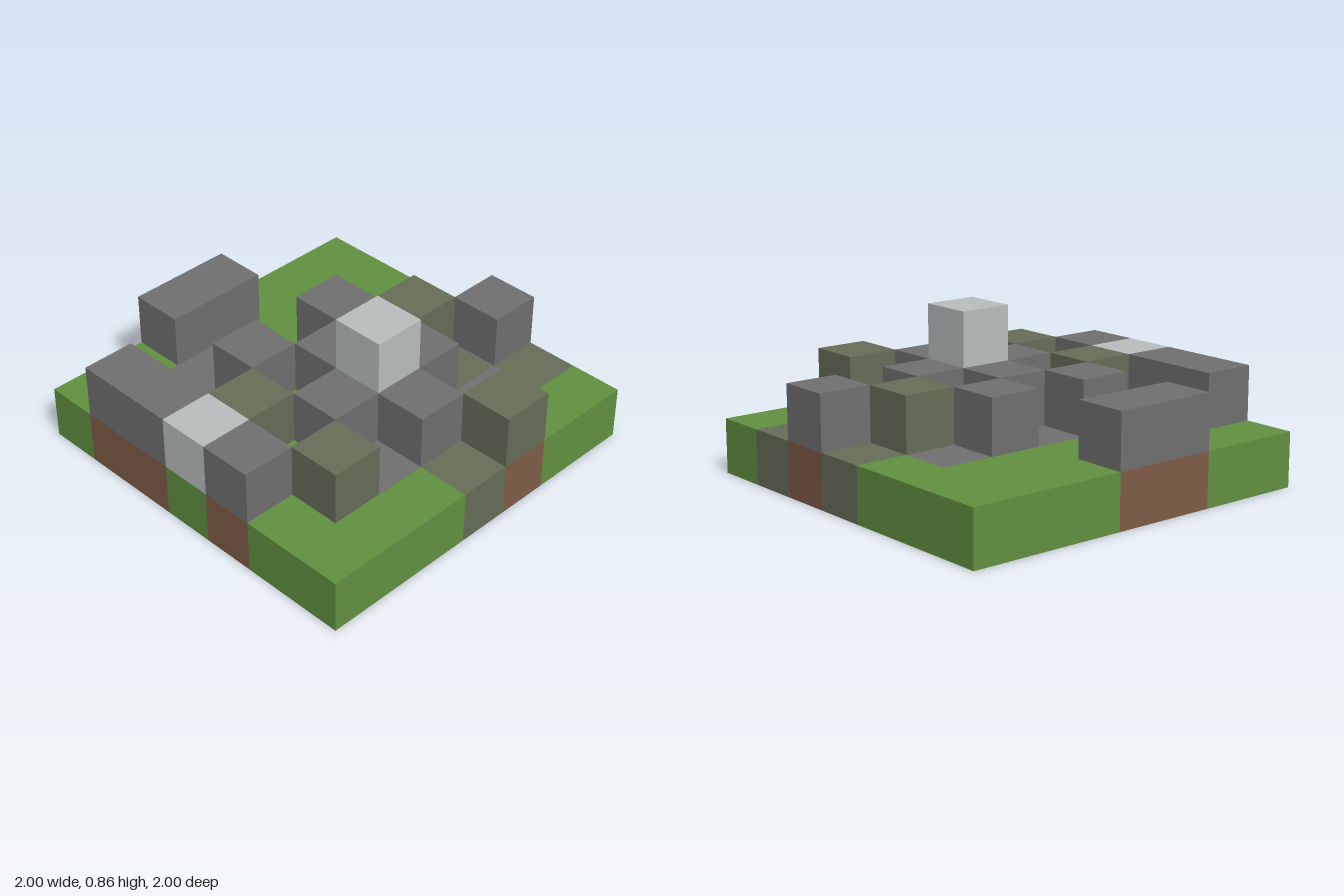
import * as THREE from 'three';

const N = 7, CELL = 2 / N;

const material = (name, color) => {
  const m = new THREE.MeshStandardMaterial({ color });
  m.name = name;
  return m;
};

// Each layer is a plan, rows running from back to front and columns from -x to +x.
// G grass, D dirt, S stone, M mossy stone, W pale stone, . empty
const LAYERS = [
  ['ground', [
    'GGDDGGG',
    'DSSGGGG',
    'DGDSDSG',
    'GDGSMDM',
    'DGDGSMD',
    'GDSSGSM',
    'GGGMDGG']],
  ['ruin', [
    '..SS...',
    'S......',
    'S.S.S..',
    'WM.S.M.',
    'S.SSS.S',
    '.M.S...',
    '....M..']],
  ['peak', [
    '.......',
    '.......',
    '.......',
    '.......',
    '...W...',
    '.......',
    '.......']],
];

export function createModel() {
  const kinds = {
    G: ['Grass', material('grass green', 0x629140)],
    D: ['Dirt', material('dirt brown', 0x7f5c47)],
    S: ['Stone', material('stone grey', 0x707070)],
    M: ['MossyStone', material('mossy grey', 0x666d58)],
    W: ['PaleStone', material('pale grey', 0xb8bebe)],
  };
  const model = new THREE.Group();
  model.name = 'blockRuin';
  const cube = new THREE.BoxGeometry(CELL, CELL, CELL);

  LAYERS.forEach(([name, rows], level) => {
    const layer = new THREE.Group();
    layer.name = name;
    rows.forEach((row, r) => [...row].forEach((key, c) => {
      if (key === '.') return;
      const [label, mat] = kinds[key];
      const block = new THREE.Mesh(cube, mat);
      block.name = name + label;
      block.position.set((c + 0.5) * CELL - 1, (level + 0.5) * CELL, (r + 0.5) * CELL - 1);
      layer.add(block);
    }));
    model.add(layer);
  });
  return model;
}
